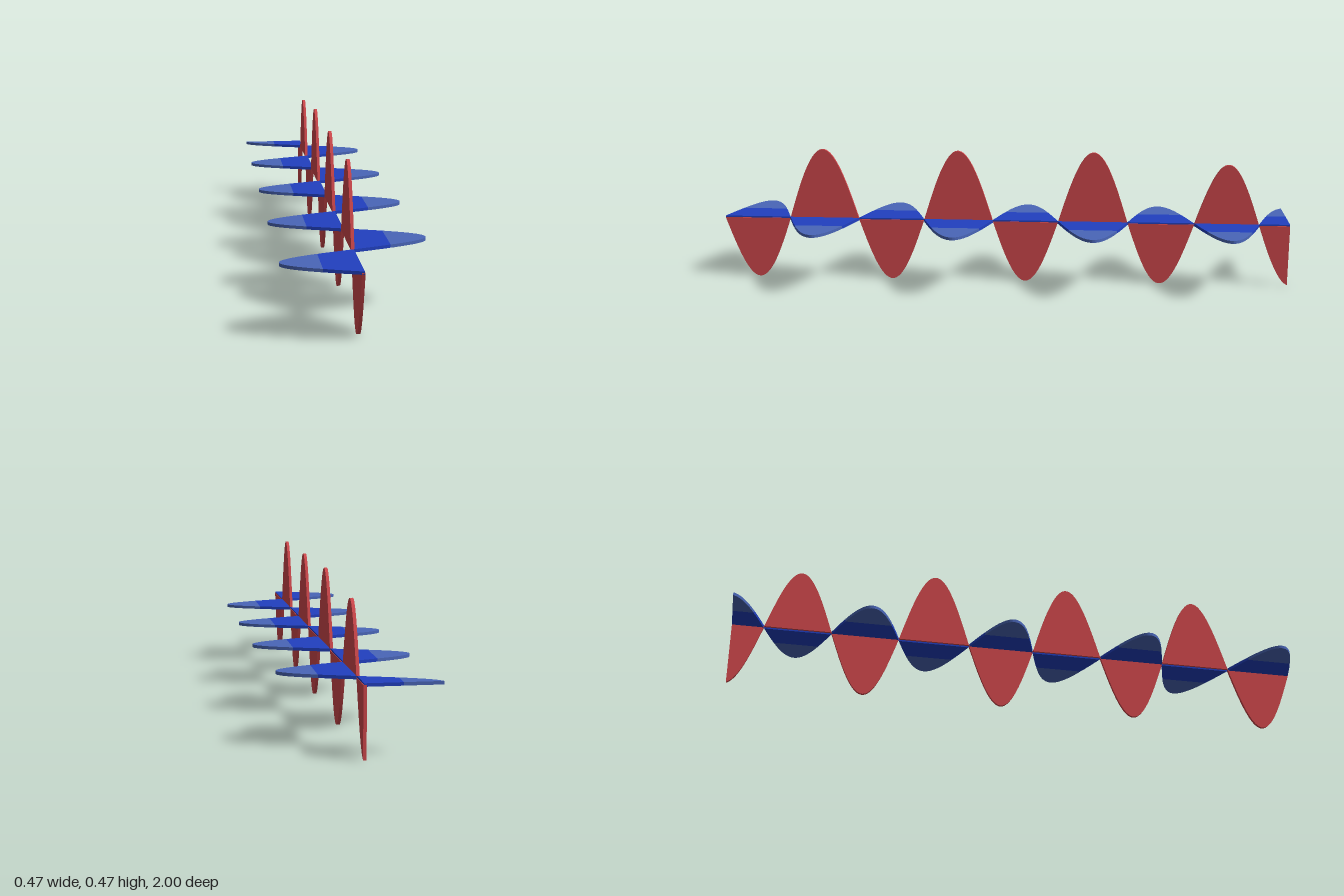
import * as THREE from 'three';
import { toCreasedNormals } from 'three/addons/utils/BufferGeometryUtils.js';

const THICK = 0.01;
const AXIS_X = -0.005, AXIS_Y = 0.22;
// Where the waves cross the axis, front to back; the last lobe is cut off at z = -1
const CROSSINGS = [1, 0.765, 0.517, 0.285, 0.04, -0.19, -0.435, -0.667, -0.893, -1.128];
const BACK = -1;
const STEPS = 36;

// Half-sine lobe between heights lo and hi (fractions of its amplitude)
function lobeShape(z0, z1, amp, lo = 0, hi = 1) {
  const a = Math.asin(lo), b = Math.PI - a;
  const points = [];
  for (let i = 0; i <= STEPS; i++) {
    const t = a + (b - a) * i / STEPS;
    const z = z0 + (z1 - z0) * t / Math.PI;
    if (z < BACK) break;
    points.push(new THREE.Vector2(z, amp * Math.min(Math.sin(t), hi)));
  }
  // Straight cut at the back end
  if (z1 < BACK) {
    const s = Math.sin(Math.PI * (BACK - z0) / (z1 - z0));
    points.push(new THREE.Vector2(BACK, amp * Math.min(s, hi)));
    points.push(new THREE.Vector2(BACK, amp * lo));
  }
  return new THREE.Shape(points);
}

function plate(name, shape, basis, material) {
  const geometry = new THREE.ExtrudeGeometry(shape, { depth: THICK, bevelEnabled: false });
  geometry.translate(0, 0, -THICK / 2);
  geometry.applyMatrix4(basis);
  const mesh = new THREE.Mesh(toCreasedNormals(geometry, 0.5), material);
  mesh.name = name;
  return mesh;
}

export function createModel() {
  const red = new THREE.MeshStandardMaterial({ name: 'red', color: 0xd0484c });
  const blue = new THREE.MeshStandardMaterial({ name: 'deepBlue', color: 0x2140c0 });
  const paleBlue = new THREE.MeshStandardMaterial({ name: 'paleBlue', color: 0x4a66b8 });

  const X = new THREE.Vector3(1, 0, 0);
  const Y = new THREE.Vector3(0, 1, 0);
  const Z = new THREE.Vector3(0, 0, 1);
  const upright = new THREE.Matrix4().makeBasis(Z, Y, X.clone().negate());
  const flat = new THREE.Matrix4().makeBasis(Z, X, Y);

  const model = new THREE.Group();
  model.name = 'crossedWaves';
  const vertical = new THREE.Group();
  vertical.name = 'verticalWave';
  vertical.position.set(-0.008, AXIS_Y, 0);
  const horizontal = new THREE.Group();
  horizontal.name = 'horizontalWave';
  horizontal.position.set(AXIS_X, AXIS_Y, 0);
  model.add(vertical, horizontal);

  for (let i = 0; i < CROSSINGS.length - 1; i++) {
    const z0 = CROSSINGS[i], z1 = CROSSINGS[i + 1];
    const positive = i % 2 === 1;
    const smaller = i === 7; // the rearmost full lobe is a little lower
    const height = positive ? (smaller ? 0.215 : 0.252) : -0.217;
    const width = positive ? (smaller ? 0.22 : 0.238) : -0.231;

    vertical.add(plate('verticalLobe', lobeShape(z0, z1, height), upright, red));
    // Each flat lobe has a deep inner half and a paler tip
    horizontal.add(plate('lobeBase', lobeShape(z0, z1, width, 0, 0.49), flat, blue));
    horizontal.add(plate('lobeTip', lobeShape(z0, z1, width, 0.49, 1), flat, paleBlue));
  }
  return model;
}
